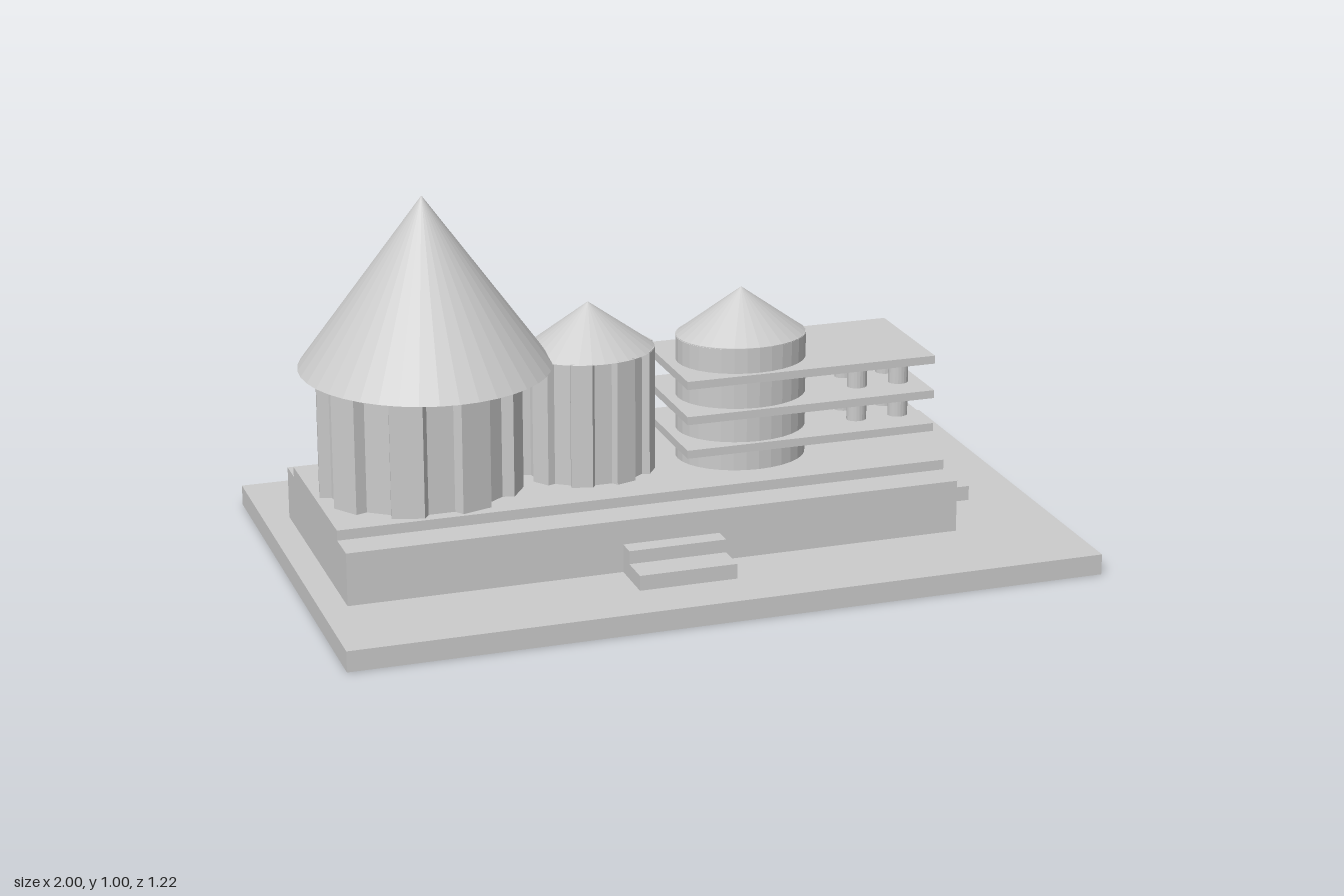
import * as THREE from 'three';

const material = new THREE.MeshStandardMaterial({ color: 0xcccccc, flatShading: true });

export function createModel() {
  const model = new THREE.Group();

  const add = (name, geometry) => {
    const mesh = new THREE.Mesh(geometry, material);
    mesh.name = name;
    model.add(mesh);
    return mesh;
  };

  // Box given by its limits on each axis
  const box = (name, x0, x1, y0, y1, z0, z1) =>
    add(name, new THREE.BoxGeometry(x1 - x0, y1 - y0, z1 - z0))
      .position.set((x0 + x1) / 2, (y0 + y1) / 2, (z0 + z1) / 2);

  // Elliptical cylinder or cone
  const round = (name, x, z, y0, y1, rx, rz, top, sides = 32) => {
    const mesh = add(name, new THREE.CylinderGeometry(top, 1, y1 - y0, sides));
    mesh.scale.set(rx, 1, rz);
    mesh.position.set(x, (y0 + y1) / 2, z);
  };

  // Upright drum with nine flat ribs, one rib pointing to the back
  const ribbedDrum = (name, x, z, y0, y1, rx, rz) => {
    const shape = new THREE.Shape();
    const ribs = 9;
    const corners = [[-0.29, 0.89], [-0.23, 1], [0.23, 1], [0.29, 0.89]];
    for (let i = 0; i < ribs; i++) {
      for (const [offset, r] of corners) {
        const a = Math.PI / 2 + ((i + offset) / ribs) * Math.PI * 2;
        const px = Math.cos(a) * r * rx, py = Math.sin(a) * r * rz;
        if (shape.curves.length || shape.currentPoint.lengthSq() > 0) shape.lineTo(px, py);
        else shape.moveTo(px, py);
      }
    }
    shape.closePath();
    const geometry = new THREE.ExtrudeGeometry(shape, { depth: y1 - y0, bevelEnabled: false });
    geometry.rotateX(-Math.PI / 2);
    add(name, geometry).position.set(x, y0, z);
  };

  // Ground slab and two-tier plinth
  box('groundSlab', -1, 1, 0, 0.055, -0.608, 0.608);
  box('plinth', -0.93, 0.71, 0.055, 0.195, -0.33, 0.33);
  box('upperPlinth', -0.93, 0.71, 0.195, 0.222, -0.255, 0.237);

  // Steps at the front, back and left end
  for (const [name, s] of [['front', 1], ['back', -1]]) {
    const z = [0.33, 0.38, 0.465].map((v) => v * s);
    box(name + 'UpperStep', -0.21, 0.05, 0.055, 0.13, Math.min(z[0], z[1]), Math.max(z[0], z[1]));
    box(name + 'LowerStep', -0.21, 0.05, 0.055, 0.095, Math.min(z[1], z[2]), Math.max(z[1], z[2]));
  }
  box('endUpperStep', 0.71, 0.77, 0.055, 0.13, -0.092, 0.127);
  box('endLowerStep', 0.77, 0.835, 0.055, 0.095, -0.092, 0.127);

  // Large ribbed tower
  ribbedDrum('largeTower', -0.65, 0, 0.222, 0.556, 0.268, 0.23);
  round('largeRoof', -0.633, 0, 0.553, 1, 0.325, 0.338, 0, 40);

  // Middle ribbed tower
  ribbedDrum('middleTower', -0.198, 0, 0.222, 0.556, 0.178, 0.148);
  round('middleRoof', -0.198, 0.002, 0.554, 0.68, 0.176, 0.148, 0);

  // Plain round tower
  round('roundTower', 0.223, 0.002, 0.222, 0.556, 0.175, 0.148, 1);
  round('roundTowerRoof', 0.223, 0.002, 0.554, 0.68, 0.176, 0.148, 0);

  // Terraces crossing the round tower
  for (const y of [0.278, 0.37, 0.466]) box('terrace', 0.02, 0.71, y, y + 0.022, -0.19, 0.163);

  // Pillars between the terraces
  for (const [y0, y1] of [[0.3, 0.37], [0.392, 0.466]])
    for (const x of [0.53, 0.648])
      for (const z of [-0.028, 0.063]) round('pillar', x, z, y0, y1, 0.027, 0.023, 1, 20);

  return model;
}
